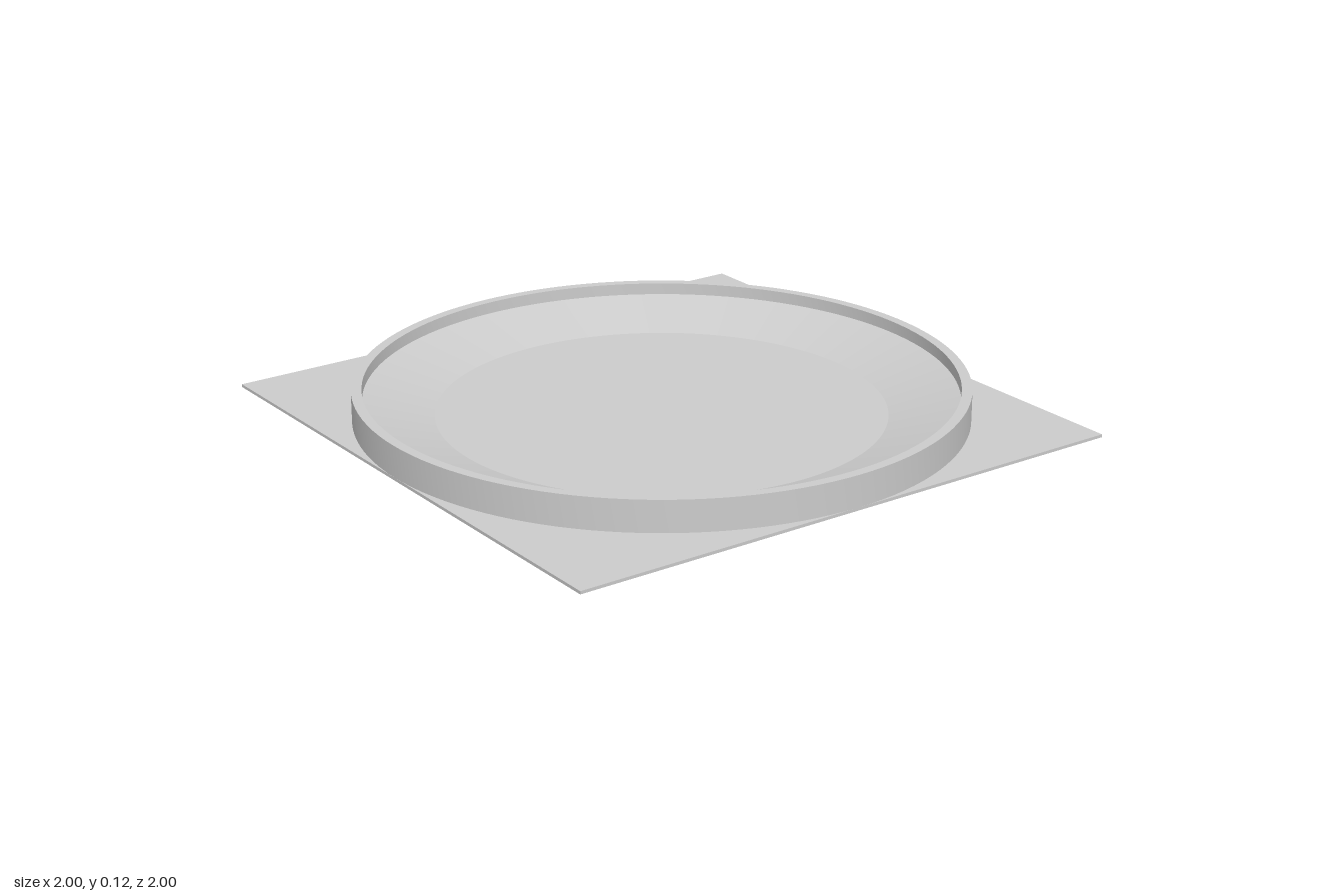
import * as THREE from 'three';
import { toCreasedNormals } from 'three/addons/utils/BufferGeometryUtils.js';

const BASE = 0.01; // thickness of the square plate

export function createModel() {
  const group = new THREE.Group();
  const material = new THREE.MeshStandardMaterial({ color: 0xcccccc });

  // Thin square plate; its top is also the flat floor of the dish
  const plate = new THREE.Mesh(new THREE.BoxGeometry(2, BASE, 2), material);
  plate.name = 'basePlate';
  plate.position.y = BASE / 2;
  group.add(plate);

  // Round wall: outer side, flat rim, short inner wall, slope down to the floor
  const profile = [
    [1, BASE], [1, 0.115], [0.966, 0.115], [0.966, 0.075], [0.735, BASE],
  ].map(([r, y]) => new THREE.Vector2(r, y));
  const wall = new THREE.Mesh(
    toCreasedNormals(new THREE.LatheGeometry(profile, 128), Math.PI / 6),
    material,
  );
  wall.name = 'dishWall';
  group.add(wall);

  return group;
}
